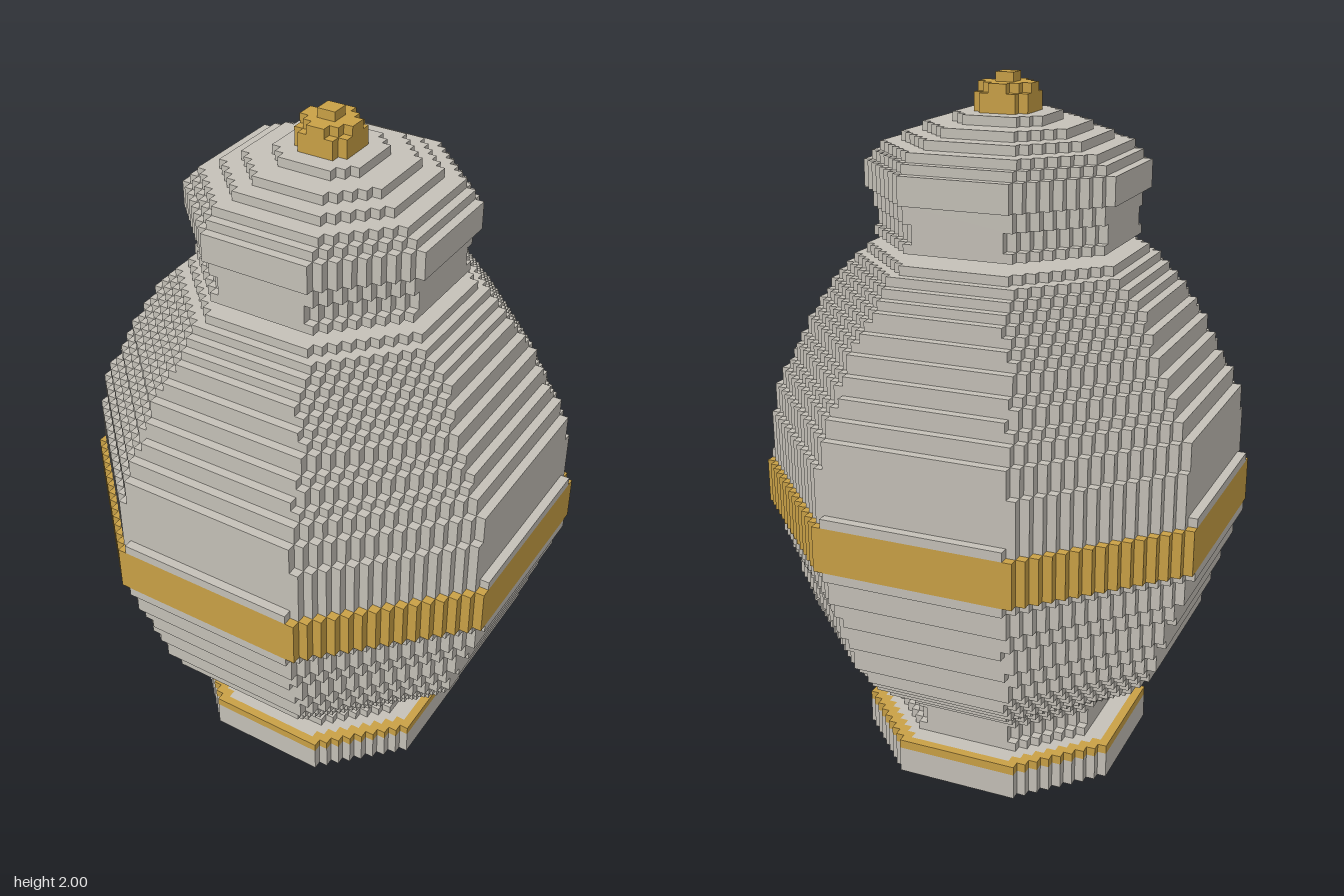
import * as THREE from 'three';

const V = 2 / 77; // size of one block

const stone = new THREE.MeshStandardMaterial({ color: 0xc5c1b8 });
stone.name = 'pale stone';
const gold = new THREE.MeshStandardMaterial({ color: 0xcaa146 });
gold.name = 'gold';

// Stair-stepped octagon outline for an octagon of apothem r (in blocks)
function octagon(r) {
  const R = Math.round(r);
  const S = Math.floor(r * Math.SQRT2);
  const F = S - R + 1; // half length of the straight sides
  const corner = [];
  for (let y = F; y < R; y++) {
    const x = R - (y - F);
    corner.push([x, y], [x - 1, y]);
  }
  corner.push([F, R]);
  const pts = [];
  for (let q = 0; q < 4; q++) {
    for (const [x, y] of corner) {
      let p = [x, y];
      for (let k = 0; k < q; k++) p = [-p[1], p[0]];
      pts.push(new THREE.Vector2(p[0] * V, p[1] * V));
    }
  }
  return pts;
}

// One slab, standing on layer y0; an inner radius makes it a ring
function slab(r, y0, count, material, inner) {
  const shape = new THREE.Shape(octagon(r));
  if (inner) shape.holes.push(new THREE.Path(octagon(inner)));
  const geo = new THREE.ExtrudeGeometry(shape, { depth: count * V, bevelEnabled: false });
  geo.rotateX(-Math.PI / 2);
  geo.translate(0, y0 * V, 0);
  return new THREE.Mesh(geo, material);
}

// Stack of slabs from [radius, layer count] pairs
function stack(name, y0, runs, material) {
  const group = new THREE.Group();
  group.name = name;
  let y = y0;
  for (const [r, n] of runs) {
    const mesh = slab(r, y, n, material);
    mesh.name = name + 'Layer';
    group.add(mesh);
    y += n;
  }
  return group;
}

export function createModel() {
  const urn = new THREE.Group();
  urn.name = 'urn';

  // Foot plate with a gold edge
  urn.add(stack('footPlate', 0, [[15, 3], [14, 1]], stone));
  const footTrim = slab(15, 3, 1, gold, 14);
  footTrim.name = 'footTrim';
  urn.add(footTrim);

  // Narrow stem above the foot
  urn.add(stack('stem', 4, [[12.1, 1], [11.8, 2], [12.3, 1]], stone));

  // Lower half of the belly
  urn.add(stack('lowerBelly', 8, [
    [13, 1], [14, 1], [15.2, 1], [16.6, 1], [17.7, 1], [18.7, 1],
    [19.6, 1], [20.2, 1], [20.7, 1], [21.1, 1], [21.4, 1],
    [21.7, 1], [22, 1], [22.3, 1], [22.55, 1], [22.8, 1], [23.2, 1],
    [23.6, 2], [23.9, 1],
  ], stone));

  // Gold belt between two stone lips
  urn.add(stack('beltLip', 28, [[24.6, 1]], stone));
  urn.add(stack('belt', 29, [[25, 5]], gold));
  urn.add(stack('beltLip', 34, [[24.6, 1]], stone));

  // Upper half of the belly, tapering to the shoulder
  urn.add(stack('upperBelly', 35, [
    [24.1, 5], [23.7, 3], [23.2, 1], [22.7, 1], [22.3, 1], [21.8, 1],
    [21.4, 1], [20.9, 1], [20.3, 1], [19.8, 1], [19.3, 1], [18.7, 1],
    [18.2, 1], [17.5, 1], [16.8, 1], [16, 1], [15, 1], [14, 1],
  ], stone));

  // Neck
  urn.add(stack('neck', 60, [[13.2, 1], [12.6, 2], [13.1, 2]], stone));

  // Lid: rim and stepped dome
  urn.add(stack('lid', 65, [[14, 3], [13, 1], [12.3, 1], [10.2, 1], [8, 1], [5.2, 1]], stone));

  // Knob
  urn.add(stack('knob', 73, [[3, 2], [2.7, 1], [1, 1]], gold));

  return urn;
}
